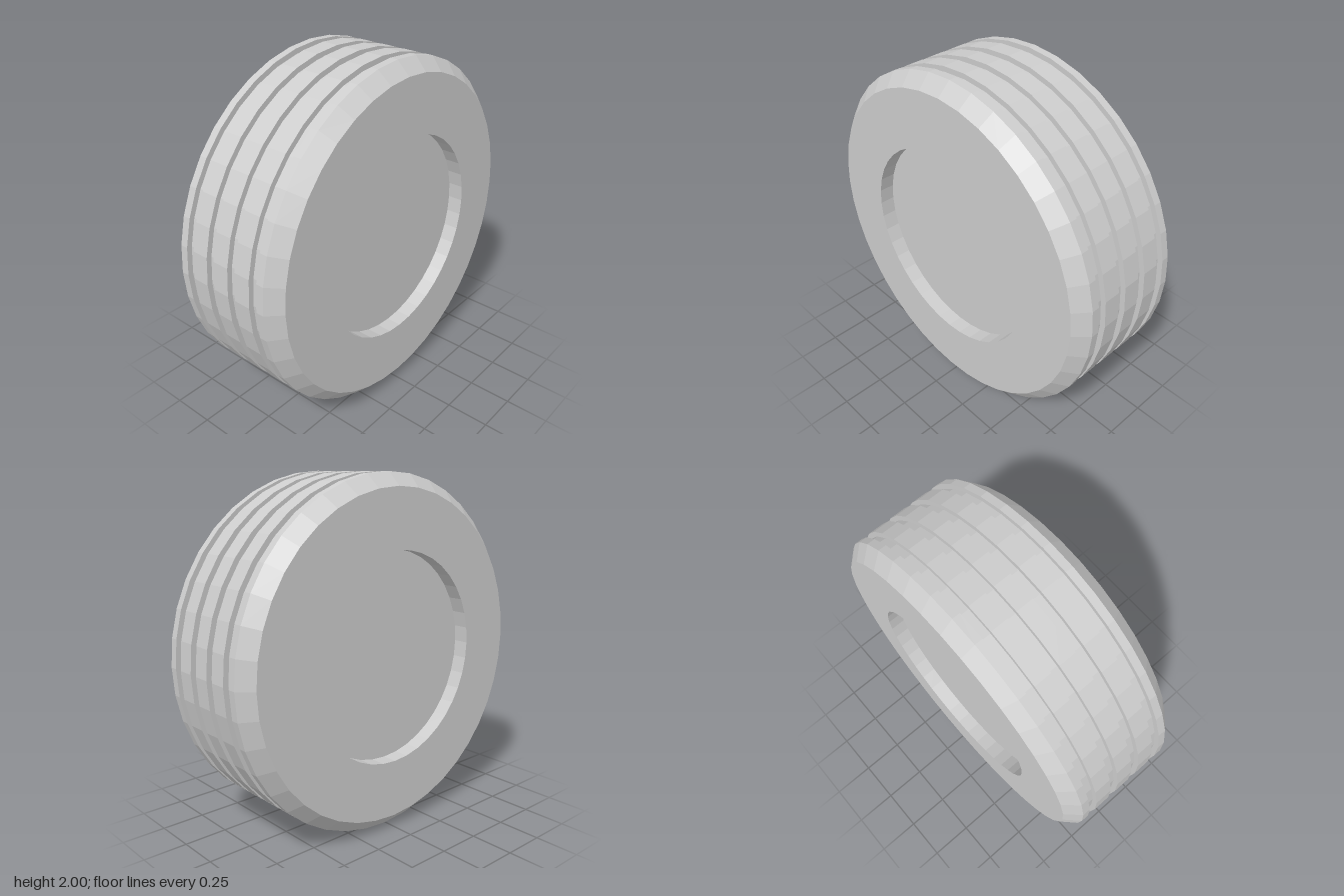
import * as THREE from 'three';

const SIDES = 40;
const HALF_WIDTH = 0.37;
const RIM_RADIUS = 0.594;
const HUB_X = 0.282; // hub faces sit in shallow recesses
const GROOVE_RADIUS = 0.97;

export function createModel() {
  const model = new THREE.Group();
  model.name = 'wheel';
  const grey = new THREE.MeshStandardMaterial({ color: 0xcccccc, flatShading: true });
  grey.name = 'light grey';

  // Tyre profile (radius, axial position): recess wall, sidewall, bevel, grooved tread, and back
  const profile = [[RIM_RADIUS, -HUB_X], [RIM_RADIUS, -HALF_WIDTH], [0.926, -HALF_WIDTH], [1, -0.295]];
  for (const start of [-0.25, -0.1, 0.05, 0.2]) {
    const end = start + 0.05;
    profile.push([1, start], [GROOVE_RADIUS, start], [GROOVE_RADIUS, end], [1, end]);
  }
  profile.push([1, 0.295], [0.926, HALF_WIDTH], [RIM_RADIUS, HALF_WIDTH], [RIM_RADIUS, HUB_X]);

  const tyreGeometry = new THREE.LatheGeometry(profile.map(([r, x]) => new THREE.Vector2(r, x)), SIDES);
  tyreGeometry.rotateZ(-Math.PI / 2);
  const tyre = new THREE.Mesh(tyreGeometry, grey);
  tyre.name = 'tyre';
  tyre.position.y = 1;
  model.add(tyre);

  // Flat hub face on each side
  for (const side of [-1, 1]) {
    const hub = new THREE.Mesh(new THREE.CircleGeometry(RIM_RADIUS, SIDES), grey);
    hub.name = side > 0 ? 'leftHubFace' : 'rightHubFace';
    hub.rotation.y = side * Math.PI / 2;
    hub.position.set(side * HUB_X, 1, 0);
    model.add(hub);
  }
  return model;
}
